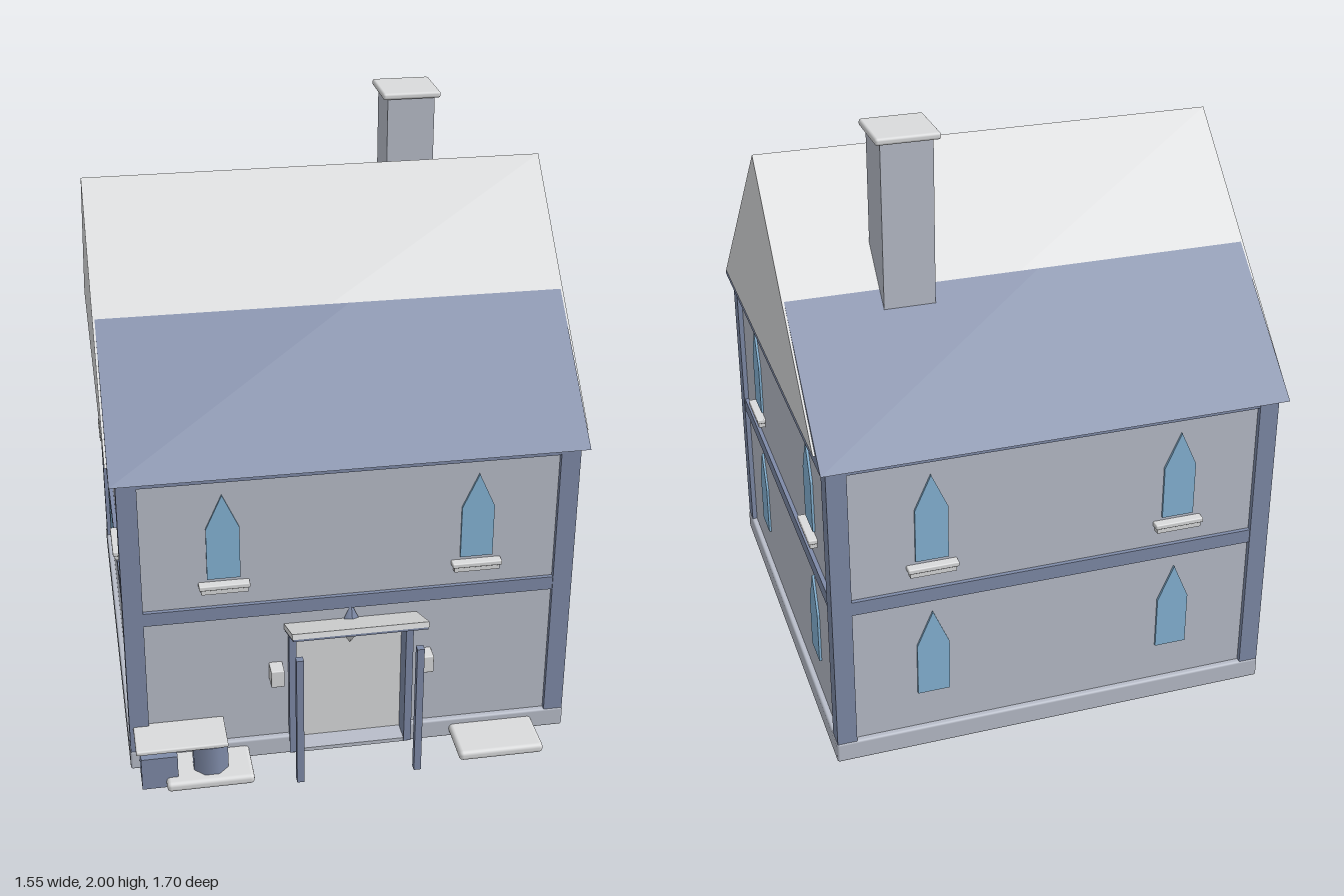
import * as THREE from 'three';
import { RoundedBoxGeometry } from 'three/addons/geometries/RoundedBoxGeometry.js';

const material = (name, color) => {
  const m = new THREE.MeshStandardMaterial({ color });
  m.name = name;
  return m;
};

export function createModel() {
  const house = new THREE.Group();
  house.name = 'house';
  const pale = material('pale stone', 0xdadbdc);
  const wallGrey = material('wall grey', 0xb8bdc9);
  const blue = material('slate blue', 0x7e8aa7);
  const glass = material('window blue', 0x85b4d6);

  const add = (name, geometry, mat, parent = house) => {
    const mesh = new THREE.Mesh(geometry, mat);
    mesh.name = name;
    parent.add(mesh);
    return mesh;
  };
  // Box given by its limits on each axis; a radius rounds its edges
  const box = (name, mat, [x0, x1], [y0, y1], [z0, z1], parent = house, radius = 0) => {
    const size = [x1 - x0, y1 - y0, z1 - z0];
    const geometry = radius ? new RoundedBoxGeometry(...size, 2, radius) : new THREE.BoxGeometry(...size);
    const mesh = add(name, geometry, mat, parent);
    mesh.position.set((x0 + x1) / 2, (y0 + y1) / 2, (z0 + z1) / 2);
    return mesh;
  };
  const extrude = (points, depth) => new THREE.ExtrudeGeometry(
    new THREE.Shape(points.map(([x, y]) => new THREE.Vector2(x, y))), { depth, bevelEnabled: false });
  // Profile of [z, y] points swept along x and centred on x = 0
  const sweepX = (name, mat, points, width) =>
    add(name, extrude(points, width).rotateY(-Math.PI / 2).translate(width / 2, 0, 0), mat);

  // Walls, with a notch for the recessed doorway
  const cz = -0.07, wall = 0.73;
  box('wallBody', wallGrey, [-wall, wall], [0.005, 1.1], [-0.8, 0.6]);
  add('frontWall', extrude([[-wall, 0.005], [-0.2, 0.005], [-0.2, 0.48], [0.2, 0.48], [0.2, 0.005],
    [wall, 0.005], [wall, 1.1], [-wall, 1.1]], 0.06).translate(0, 0, 0.6), wallGrey);

  // The four sides share beams, corner posts, plinth and windows
  const pane = (base, shoulder, tip) => extrude([[-0.054, base], [0.054, base], [0.054, shoulder],
    [0, tip], [-0.054, shoulder]], 0.008);
  const upperPane = pane(0.715, 0.9, 1.02);
  const lowerPane = pane(0.205, 0.39, 0.515);
  ['front', 'right', 'back', 'left'].forEach((label, i) => {
    const side = new THREE.Group();
    side.name = label + 'Side';
    side.position.z = cz;
    side.rotation.y = i * Math.PI / 2;
    house.add(side);
    box('middleBeam', blue, [-0.69, 0.69], [0.562, 0.61], [0.7, 0.744], side);
    box('topBeam', blue, [-0.69, 0.69], [1.07, 1.1], [0.7, 0.744], side);
    box('cornerPost', blue, [0.682, 0.747], [0.01, 1.1], [0.682, 0.747], side);
    const spans = i === 0 ? [[-0.75, -0.2], [0.2, 0.75]] : [[-0.75, 0.75]];
    for (const span of spans) box('plinth', wallGrey, span, [0, 0.072], [0.68, 0.75], side, 0.008);
    for (const x of [-0.417, 0.417]) {
      add('upperWindow', upperPane, glass, side).position.set(x, 0, wall);
      box('sillTop', pale, [x - 0.083, x + 0.083], [0.685, 0.702], [0.72, 0.76], side, 0.004);
      box('sillBase', pale, [x - 0.076, x + 0.076], [0.668, 0.686], [0.72, 0.754], side);
      if (i > 0) add('lowerWindow', lowerPane, glass, side).position.set(x, 0, wall);
    }
  });

  // Roof: wide blue eaves crossed by a steeper pale upper roof
  sweepX('lowerRoof', blue, [[cz - 0.78, 1.1], [cz + 0.78, 1.1], [cz, 1.815]], 1.535);
  sweepX('upperRoof', pale, [[cz - 0.717, 1.138], [cz + 0.717, 1.138], [cz, 1.835]], 1.55);

  // Chimney
  box('chimney', wallGrey, [0.3, 0.466], [1.35, 1.985], [-0.482, -0.315]);
  box('chimneyCap', pale, [0.281, 0.485], [1.977, 2], [-0.504, -0.3], house, 0.009);

  // Doorway
  box('door', pale, [-0.185, 0.185], [0.012, 0.48], [0.598, 0.608]);
  box('doorStep', wallGrey, [-0.2, 0.2], [0, 0.014], [0.59, 0.68]);
  box('doorHeader', pale, [-0.133, 0.133], [0.463, 0.48], [0.6, 0.69], house, 0.005);
  const pendant = add('doorPendant', new THREE.ConeGeometry(0.036, 0.054, 6), pale);
  pendant.rotation.x = Math.PI;
  pendant.position.set(0, 0.437, 0.65);
  add('doorFinial', new THREE.ConeGeometry(0.04, 0.09, 4), blue).position.set(0, 0.53, 0.67);
  for (const s of [-1, 1]) {
    const span = (a, b) => (s > 0 ? [a, b] : [-b, -a]);
    box('doorFrame', blue, span(0.185, 0.21), [0.005, 0.49], [0.6, 0.685]);
    box('porchPost', blue, span(0.186, 0.21), [0.005, 0.49], [0.82, 0.845]);
    box('wallLamp', pale, span(0.23, 0.275), [0.302, 0.366], [0.655, 0.716], house, 0.004);
    box('frontSlab', pale, s > 0 ? [0.345, 0.636] : [-0.64, -0.35], [0.015, 0.05], [0.64, 0.842], house, 0.014);
  }

  // Canopy tilted up towards the front
  sweepX('canopyTop', pale, [[0.66, 0.494], [0.848, 0.576], [0.843, 0.594], [0.655, 0.512]], 0.446);
  sweepX('canopyUnderside', blue, [[0.66, 0.485], [0.846, 0.567], [0.846, 0.576], [0.66, 0.494]], 0.44);

  // Bench beside the left slab
  box('benchTop', pale, [-0.735, -0.432], [0.153, 0.17], [0.66, 0.812], house, 0.006);
  box('benchBox', blue, [-0.72, -0.6], [0.012, 0.132], [0.69, 0.805]);
  const leg = add('benchLeg', new THREE.CylinderGeometry(0.062, 0.062, 0.142, 8).rotateY(Math.PI / 8), blue);
  leg.position.set(-0.488, 0.084, 0.755);

  return house;
}
